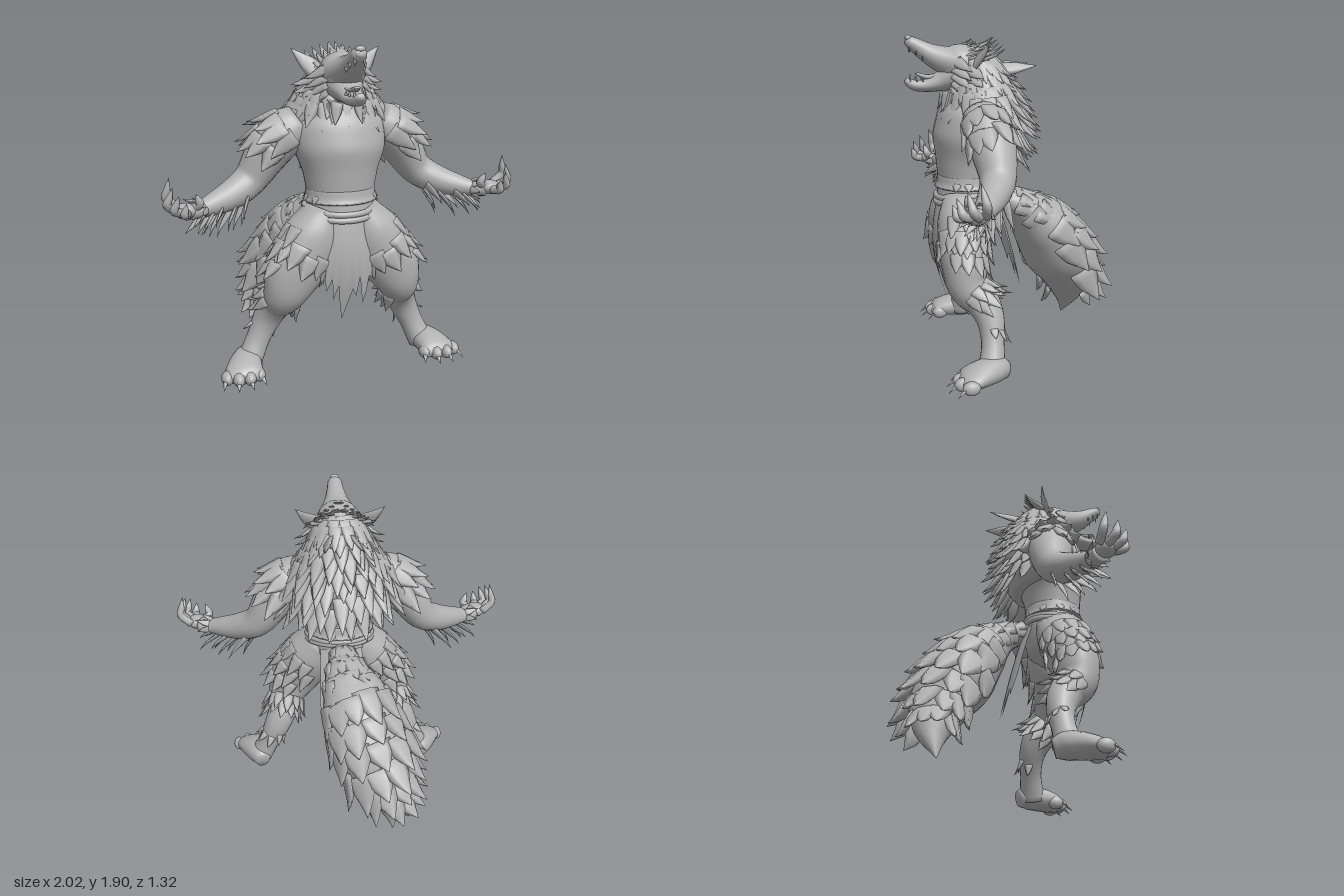
import * as THREE from 'three';
import { mergeGeometries } from 'three/addons/utils/BufferGeometryUtils.js';

const V = (x, y, z) => new THREE.Vector3(x, y, z);
const X = V(1, 0, 0), Y = V(0, 1, 0), Z = V(0, 0, 1);
const PI = Math.PI;

let seed = 7;
const rnd = () => ((seed = (seed * 16807) % 2147483647) / 2147483647);
const jit = (a) => (rnd() - 0.5) * 2 * a;

// Smooth tube surface through sections [x, y, z, radiusA, radiusB]
function surface(sections, ref) {
  const path = new THREE.CatmullRomCurve3(sections.map((s) => V(s[0], s[1], s[2])));
  const radii = new THREE.CatmullRomCurve3(sections.map((s) => V(s[3], s[4], 0)));
  return (u, a) => {
    const c = path.getPoint(u), t = path.getTangent(u), r = radii.getPoint(u);
    const ra = Math.max(r.x, 0.0008), rb = Math.max(r.y, 0.0008);
    const side = V().crossVectors(ref, t).normalize();
    const up = V().crossVectors(t, side);
    const p = c.clone().addScaledVector(side, ra * Math.cos(a)).addScaledVector(up, rb * Math.sin(a));
    const n = side.clone().multiplyScalar(Math.cos(a) / ra).addScaledVector(up, Math.sin(a) / rb).normalize();
    return { c, p, n, t };
  };
}

function skin(surf, rings = 24, sides = 20) {
  const pos = [], idx = [], last = rings * sides;
  for (let i = 0; i <= rings; i++)
    for (let j = 0; j < sides; j++) pos.push(...surf(i / rings, (j / sides) * 2 * PI).p.toArray());
  pos.push(...surf(0, 0).c.toArray(), ...surf(1, 0).c.toArray());
  const c0 = (rings + 1) * sides;
  for (let j = 0; j < sides; j++) {
    const k = (j + 1) % sides;
    for (let i = 0; i < rings; i++) {
      const a = i * sides + j, b = i * sides + k;
      idx.push(a, b, a + sides, b, b + sides, a + sides);
    }
    idx.push(c0, k, j, c0 + 1, last + j, last + k);
  }
  const g = new THREE.BufferGeometry();
  g.setAttribute('position', new THREE.Float32BufferAttribute(pos, 3));
  g.setIndex(idx);
  g.computeVertexNormals();
  return g;
}

const loft = (sections, ref, rings, sides) => skin(surface(sections, ref), rings, sides);

// Pointed, slightly hooked lock of fur
function tuft(p, dir, n, len, w, hook = 0.12) {
  const at = (k, off) => p.clone().addScaledVector(dir, len * k).addScaledVector(n, len * off).toArray();
  return loft([[...at(0, 0), w, w * 0.3], [...at(0.38, 0), w * 0.88, w * 0.3],
    [...at(0.72, hook * 0.2), w * 0.45, w * 0.2], [...at(1, hook), 0, 0]], n, 5, 6);
}

function fur(list, surf, u, a, len, w, lift, hook) {
  const s = surf(u, a);
  const dir = s.t.clone().addScaledVector(s.n, lift).normalize();
  list.push(tuft(s.p.clone().addScaledVector(s.n, -w * 0.15), dir, s.n, len, w, hook));
}

// Staggered rows of fur; keep(u, angle) decides where it grows
function rows(list, surf, us, count, len, w, lift, keep = () => true) {
  us.forEach((u, i) => {
    const n = count(u);
    for (let j = 0; j < n; j++) {
      const a = ((j + (i % 2) * 0.5) / n) * 2 * PI;
      if (keep(u, a)) fur(list, surf, Math.min(0.99, Math.max(0, u + jit(0.015))), a + jit(0.08),
        len(u) * (1 + jit(0.18)), w(u), lift);
    }
  });
}

const ball = (x, y, z, a, b, c) => new THREE.SphereGeometry(1, 16, 12).scale(a, b, c).translate(x, y, z);

function join(list) {
  list.forEach((g) => g.deleteAttribute('uv'));
  return mergeGeometries(list);
}

function mirrored(geo) {
  const g = geo.clone().scale(-1, 1, 1), ix = g.index.array;
  for (let i = 0; i < ix.length; i += 3) [ix[i], ix[i + 1]] = [ix[i + 1], ix[i]];
  return g;
}

// Hanging cloth with a torn hem; top and bottom are [halfWidth, y, z]
function cloth(top, bottom, hem, belly) {
  const n = hem.length - 1, g = new THREE.PlaneGeometry(1, 1, n, 8), p = g.attributes.position;
  for (let i = 0; i < p.count; i++) {
    const k = i % (n + 1), v = Math.floor(i / (n + 1)) / 8, x = (k / n) * 2 - 1;
    const y = top[1] + (hem[k] - top[1]) * v;
    const d = (top[1] - y) / (top[1] - bottom[1]);
    p.setXYZ(i, x * (top[0] + (bottom[0] - top[0]) * d), y,
      top[2] + (bottom[2] - top[2]) * d + belly * Math.sin(PI * d) - 0.03 * x * x * Math.sign(belly));
  }
  g.computeVertexNormals();
  return g;
}

export function createModel() {
  const root = new THREE.Group();
  root.name = 'wolfman';
  const grey = new THREE.MeshStandardMaterial({ color: 0xb2b2b2, side: THREE.DoubleSide });
  grey.name = 'plain grey';
  const add = (name, list) => {
    const m = new THREE.Mesh(join(list), grey);
    m.name = name;
    root.add(m);
  };
  const pair = (name, list) => {
    const g = join(list);
    [['left', g], ['right', mirrored(g)]].forEach(([s, geo]) => {
      const m = new THREE.Mesh(geo, grey);
      m.name = s + name;
      root.add(m);
    });
  };

  // Torso, shirt hem and belt
  const torso = surface([[0, 1.56, 0.3, 0.14, 0.12], [0, 1.45, 0.3, 0.25, 0.17], [0, 1.32, 0.3, 0.26, 0.2],
    [0, 1.18, 0.31, 0.215, 0.175], [0, 1.05, 0.31, 0.195, 0.165], [0, 0.95, 0.31, 0.2, 0.175],
    [0, 0.83, 0.32, 0.19, 0.165], [0, 0.75, 0.32, 0.09, 0.08]], Z);
  add('torso', [skin(torso, 28, 28)]);
  const ring = (y, r, tube, tilt) => new THREE.TorusGeometry(r, tube, 8, 36).rotateX(PI / 2)
    .scale(1, 1, 0.88).rotateX(tilt).translate(0, y, 0.31);
  add('belt', [ring(0.985, 0.203, 0.018, 0.12), ring(0.96, 0.208, 0.018, 0.16)]);
  const hem = [loft([[0, 1.1, 0.31, 0.198, 0.166], [0, 1.05, 0.31, 0.202, 0.172], [0, 1.02, 0.31, 0.215, 0.185]], Z, 6, 28)];
  [-0.5, 0.1, 0.5, 2.6, 3.1, 3.7, 4.4, 5].forEach((a) => fur(hem, torso, 0.56, a, 0.05, 0.03, 0.6));
  add('shirtHem', hem);

  // Loincloth
  add('frontCloth', [cloth([0.1, 0.94, 0.485], [0.17, 0.35, 0.44],
    [0.6, 0.52, 0.6, 0.47, 0.56, 0.42, 0.33, 0.45, 0.53, 0.48, 0.6, 0.42, 0.5, 0.6, 0.58], 0.05)]);
  add('backCloth', [cloth([0.13, 0.95, 0.13], [0.15, 0.37, -0.02],
    [0.62, 0.5, 0.56, 0.42, 0.52, 0.37, 0.48, 0.4, 0.55, 0.45, 0.6], -0.01)]);

  // Head with open jaws
  add('skull', [ball(0, 1.73, 0.33, 0.13, 0.115, 0.14),
    loft([[0, 1.735, 0.36, 0.13, 0.1], [0, 1.755, 0.43, 0.1, 0.08], [0, 1.79, 0.51, 0.068, 0.06],
      [0, 1.83, 0.575, 0.05, 0.045], [0, 1.855, 0.62, 0.042, 0.036], [0, 1.862, 0.645, 0.022, 0.018]], Y, 18, 16),
    ball(0, 1.88, 0.63, 0.028, 0.017, 0.018)]);
  add('lowerJaw', [loft([[0, 1.66, 0.38, 0.11, 0.09], [0, 1.63, 0.46, 0.075, 0.055], [0, 1.61, 0.54, 0.058, 0.036],
    [0, 1.617, 0.61, 0.045, 0.03], [0, 1.645, 0.65, 0.022, 0.016]], Y, 14, 14)]);
  add('tongue', [loft([[0, 1.67, 0.44, 0.04, 0.015], [0, 1.66, 0.53, 0.035, 0.014],
    [0, 1.68, 0.59, 0.018, 0.008]], Y, 8, 10)]);
  const teeth = [];
  [[0.026, 0.625, 0.045], [0.042, 0.59, 0.03], [0.05, 0.555, 0.025]].forEach(([x, z, h]) => {
    teeth.push(tuft(V(x, 1.835 - (0.625 - z) * 0.8, z), V(0, -1, 0), Z, h, 0.009, 0));
    teeth.push(tuft(V(x, 1.635, z), Y, Z, h, 0.009, 0));
  });
  pair('Teeth', teeth);
  pair('Ear', [tuft(V(0.11, 1.72, 0.28), V(0.68, 0.62, -0.4).normalize(), V(0.2, 0.4, 0.9).normalize(), 0.21, 0.055, 0.08)]);

  // Cheek, brow and crown locks
  const face = [];
  for (let i = 0; i < 5; i++) {
    const k = i / 4;
    face.push(tuft(V(0.1, 1.76 - 0.16 * k, 0.38), V(0.6, -0.4 - 0.3 * k, -0.5).normalize(), X, 0.14, 0.035));
    face.push(tuft(V(0.12, 1.72 - 0.14 * k, 0.31), V(0.75, -0.4 - 0.3 * k, -0.4).normalize(), V(0.5, 0.6, 0.4).normalize(), 0.17, 0.042));
    face.push(tuft(V(0.09 - 0.03 * k, 1.6 - 0.02 * k, 0.38 + 0.05 * k), V(0.3 - 0.2 * k, -0.9, 0.15).normalize(),
      V(0.4, 0, 0.9).normalize(), 0.12, 0.036));
    face.push(tuft(V(0.01 + 0.025 * i, 1.82 - 0.014 * i, 0.38 - 0.02 * i), V(0.25 * k, 0.3, -0.9).normalize(), Y, 0.12, 0.03));
    face.push(tuft(V(0.02 + 0.03 * i, 1.81 - 0.014 * i, 0.28 - 0.01 * i), V(0.4 * k, 0.35, -0.9).normalize(), Y, 0.15, 0.036));
  }
  face.push(tuft(V(0.07, 1.7, 0.14), V(0.15, 0.08, -1).normalize(), V(0.8, 0.6, 0).normalize(), 0.24, 0.05, 0.03));
  pair('FaceFur', face);

  // Mane over neck, shoulders and back
  const mane = surface([[0, 1.83, 0.27, 0.05, 0.05], [0, 1.78, 0.26, 0.12, 0.1], [0, 1.7, 0.24, 0.165, 0.15],
    [0, 1.6, 0.22, 0.23, 0.19], [0, 1.49, 0.205, 0.31, 0.2], [0, 1.36, 0.185, 0.31, 0.18],
    [0, 1.22, 0.2, 0.2, 0.12]], Z);
  const maneFur = [skin(mane, 24, 24)];
  rows(maneFur, mane, [0.1, 0.18, 0.26, 0.34, 0.42, 0.5, 0.58, 0.66, 0.74, 0.82, 0.88], (u) => Math.round(11 + 12 * Math.min(u, 0.7)),
    (u) => 0.13 + 0.06 * u, (u) => 0.04 + 0.013 * u, 0.6, (u, a) => {
      const s = Math.sin(a);
      return u < 0.4 ? s < 0.4 : u < 0.56 ? true : u < 0.72 ? s < 0.35 : s < -0.05;
    });
  add('mane', maneFur);

  // Arms, shoulder fur and forearm fur
  const arm = surface([[0.22, 1.46, 0.25, 0.1, 0.11], [0.32, 1.39, 0.24, 0.135, 0.14], [0.41, 1.27, 0.22, 0.12, 0.125],
    [0.5, 1.14, 0.22, 0.095, 0.1], [0.6, 1.08, 0.265, 0.085, 0.085], [0.72, 1.045, 0.325, 0.065, 0.065],
    [0.81, 1.03, 0.37, 0.045, 0.05], [0.87, 1.03, 0.395, 0.045, 0.055]], Z);
  pair('Arm', [skin(arm, 30, 20)]);
  const shoulderFur = [];
  rows(shoulderFur, arm, [0.09, 0.19], () => 11, () => 0.17, () => 0.06, 0.18, (u, a) => Math.cos(a) > -0.35);
  pair('ShoulderFur', shoulderFur);
  const armFur = [];
  rows(armFur, arm, [0.54, 0.62, 0.7, 0.78], () => 11, (u) => 0.2 - 0.08 * u, () => 0.028, 0.65,
    (u, a) => Math.cos(a) < -0.5);
  rows(armFur, arm, [0.84], () => 8, () => 0.07, () => 0.022, 0.5);
  pair('ForearmFur', armFur);

  // Clawed hands: knuckle, bend and claw tip of each digit
  const hand = [ball(0.89, 1.04, 0.41, 0.06, 0.042, 0.06)];
  [[[0.925, 1.05, 0.365], [0.985, 1.11, 0.375], [0.965, 1.225, 0.4]],
    [[0.935, 1.045, 0.405], [0.985, 1.085, 0.44], [0.955, 1.185, 0.465]],
    [[0.915, 1.04, 0.44], [0.955, 1.065, 0.485], [0.93, 1.15, 0.515]],
    [[0.885, 1.035, 0.455], [0.905, 1.045, 0.505], [0.895, 1.11, 0.53]],
    [[0.85, 1.045, 0.4], [0.815, 1.08, 0.435], [0.835, 1.14, 0.455]]].forEach(([k, b, t]) => {
    const mid = b.map((v, i) => v * 0.6 + t[i] * 0.4);
    hand.push(loft([[...k, 0.025, 0.025], [...b, 0.024, 0.024], [...mid, 0.019, 0.019], [...t, 0, 0]], X, 14, 8));
  });
  pair('Hand', hand);

  // Legs and their fur
  const leg = surface([[0.11, 0.96, 0.32, 0.1, 0.14], [0.19, 0.8, 0.35, 0.17, 0.16], [0.295, 0.62, 0.375, 0.168, 0.13],
    [0.345, 0.5, 0.36, 0.125, 0.115], [0.375, 0.42, 0.29, 0.095, 0.1], [0.42, 0.32, 0.25, 0.085, 0.08],
    [0.48, 0.19, 0.25, 0.07, 0.065], [0.54, 0.06, 0.27, 0.075, 0.08]], Z);
  pair('Leg', [skin(leg, 34, 22)]);
  const legFur = [];
  rows(legFur, leg, [0.11, 0.19, 0.27], () => 13, () => 0.13, () => 0.045, 0.16,
    (u, a) => Math.cos(a) > 0.65 || (Math.sin(a) < -0.6 && Math.cos(a) > -0.3));
  rows(legFur, leg, [0.19], () => 12, () => 0.15, () => 0.065, -0.02, (u, a) => Math.sin(a) > -0.2);
  rows(legFur, leg, [0.47, 0.53], () => 12, () => 0.12, () => 0.036, 0.3, (u, a) => Math.sin(a) < 0.5);
  rows(legFur, leg, [0.77], () => 9, () => 0.07, () => 0.024, 0.4, (u, a) => Math.sin(a) < 0.2);
  pair('LegFur', legFur);

  // Paws with four toes and claws
  const paw = [loft([[0.53, 0.06, 0.18, 0.045, 0.05], [0.545, 0.075, 0.24, 0.08, 0.074],
    [0.575, 0.07, 0.33, 0.1, 0.07], [0.6, 0.052, 0.41, 0.11, 0.052], [0.605, 0.035, 0.45, 0.085, 0.033]], Y, 14, 16)];
  [[0.51, 0.41], [0.57, 0.445], [0.635, 0.445], [0.695, 0.41]].forEach(([x, z], i) => {
    const out = (i - 1.3) * 0.22;
    paw.push(ball(x, 0.042, z, 0.034, 0.04, 0.05));
    paw.push(tuft(V(x + out * 0.03, 0.045, z + 0.03), V(out, -0.6, 0.85).normalize(), Y, 0.065, 0.014, -0.05));
  });
  pair('Paw', paw);

  // Great bushy tail swept back and to the right, tapering to a point
  const tail = surface([[0, 0.96, 0.15, 0.06, 0.05], [-0.02, 0.89, 0.0, 0.13, 0.09], [-0.07, 0.75, -0.16, 0.22, 0.175],
    [-0.14, 0.56, -0.29, 0.25, 0.205], [-0.22, 0.36, -0.385, 0.18, 0.15], [-0.31, 0.18, -0.42, 0.09, 0.075],
    [-0.38, 0.03, -0.4, 0, 0]], Y);
  const tailFur = [skin(tail, 30, 24)];
  rows(tailFur, tail, [0.04, 0.13, 0.22, 0.31, 0.4, 0.49, 0.58, 0.67, 0.76], () => 11,
    (u) => 0.14 + 0.09 * Math.sin(PI * u) - 0.04 * u, (u) => 0.035 + 0.06 * Math.sin(PI * Math.min(1, u + 0.05)),
    0.22, (u, a) => Math.sin(a) > -0.3);
  add('tail', tailFur);

  return root;
}
